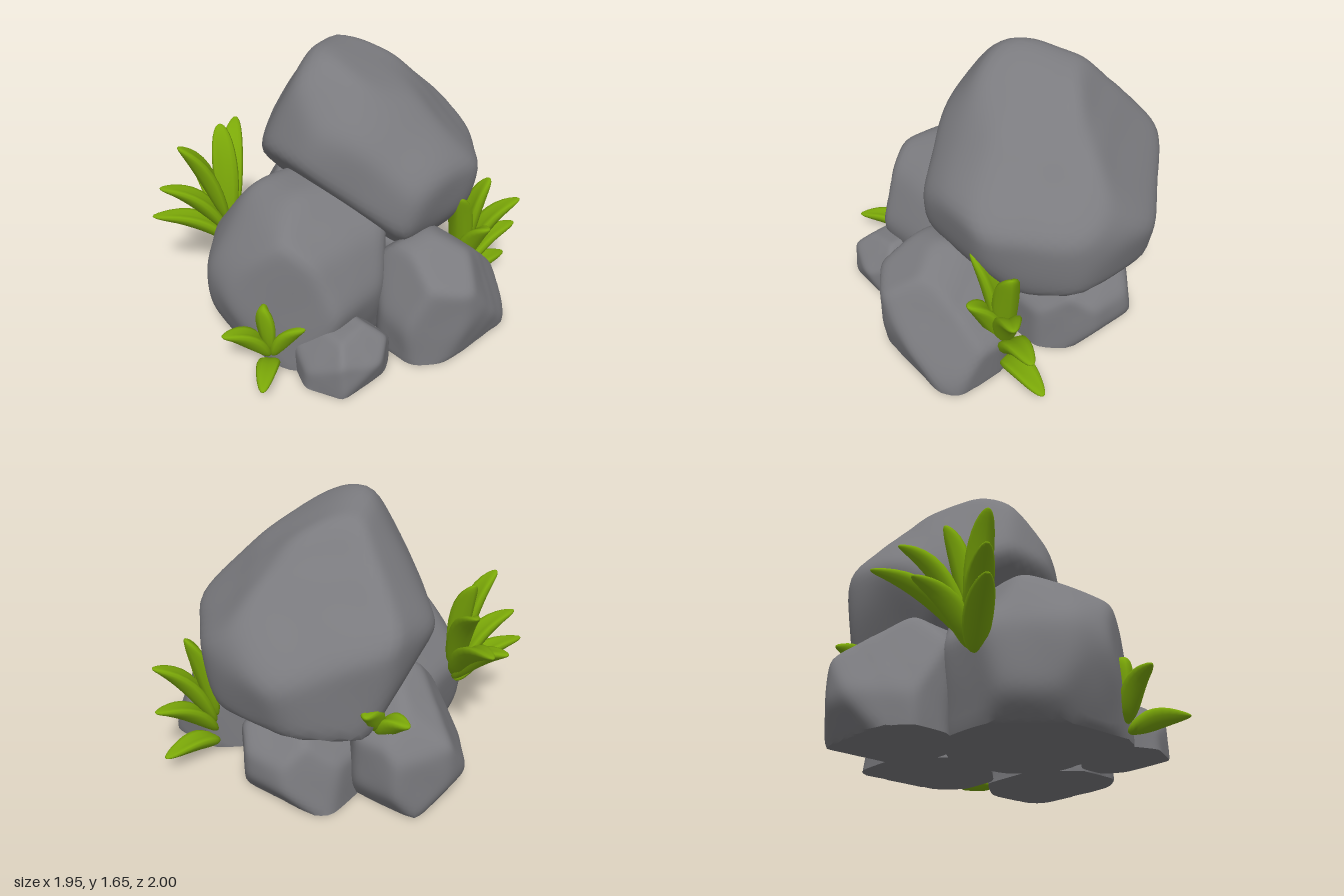
import * as THREE from 'three';
import { mergeVertices, toCreasedNormals } from 'three/addons/utils/BufferGeometryUtils.js';

const stone = new THREE.MeshStandardMaterial({ color: 0x7b7b7f });
stone.name = 'stone grey';
const leafGreen = new THREE.MeshStandardMaterial({ color: 0x7ba808 });
leafGreen.name = 'leaf green';

const weld = (g) => {
  g.deleteAttribute('uv');
  g.deleteAttribute('normal');
  return mergeVertices(g, 1e-4);
};

// Boulder: a ball cut by planes with softened edges, fitted to a box and cut flat at the ground.
// Each cut is the foot of its plane, measured from the middle of the rock.
function boulder(name, min, max, cuts) {
  const g = weld(new THREE.IcosahedronGeometry(1, 16));
  const pos = g.attributes.position, v = new THREE.Vector3(), power = 24;
  const planes = cuts.map((c) => new THREE.Vector3(...c)).map((f) => f.divideScalar(f.lengthSq()));
  for (let i = 0; i < pos.count; i++) {
    v.fromBufferAttribute(pos, i).normalize();
    let sum = 0;
    for (const n of planes) sum += Math.max(0, v.dot(n)) ** power;
    const bump = 1 + 0.006 * Math.sin(7 * v.x + 3 * v.z) * Math.sin(6 * v.y + 5 * v.z + 1);
    v.multiplyScalar(sum ** (-1 / power) * bump);
    pos.setXYZ(i, v.x, v.y, v.z);
  }
  g.computeBoundingBox();
  const b = g.boundingBox, size = b.getSize(new THREE.Vector3());
  for (let i = 0; i < pos.count; i++) {
    v.fromBufferAttribute(pos, i).sub(b.min).divide(size);
    const [x, y, z] = [v.x, v.y, v.z].map((t, k) => min[k] + t * (max[k] - min[k]));
    pos.setXYZ(i, x, Math.max(0, y), z);
  }
  const mesh = new THREE.Mesh(toCreasedNormals(g, 0.6), stone);
  mesh.name = name;
  return mesh;
}

// Leaf: a fleshy, folded ball swept along an arching curve.
function leaf(root, tip, width) {
  const a = new THREE.Vector3(...root), c = new THREE.Vector3(...tip), d = c.clone().sub(a);
  const mid = a.clone().add(new THREE.Vector3(d.x * 0.33, d.y * 0.72 + 0.05, d.z * 0.33));
  const curve = new THREE.QuadraticBezierCurve3(a, mid, c);
  const side = d.clone().cross(new THREE.Vector3(0, 1, 0)).normalize();
  const g = weld(new THREE.SphereGeometry(1, 12, 14));
  const pos = g.attributes.position;
  for (let i = 0; i < pos.count; i++) {
    const x = pos.getX(i), y = pos.getY(i), z = pos.getZ(i), t = (y + 1) / 2;
    const taper = 1.15 - 0.4 * t;
    const normal = side.clone().cross(curve.getTangent(t)).normalize();
    const p = curve.getPoint(t)
      .addScaledVector(side, x * taper * width)
      .addScaledVector(normal, z * taper * 0.046 + (Math.abs(x) - 0.5) * 0.04 * (1 - y * y));
    pos.setXYZ(i, p.x, p.y, p.z);
  }
  g.computeVertexNormals();
  const mesh = new THREE.Mesh(g, leafGreen);
  mesh.name = 'leaf';
  return mesh;
}

// Tuft: leaves from one stem, taller leaves starting higher up.
function tuft(name, root, width, tips) {
  const group = new THREE.Group();
  group.name = name;
  const spread = [0.04, 0.25, 0.04];
  for (const tip of tips) {
    const foot = root.map((r, k) => r + (tip[k] - r) * spread[k]);
    group.add(leaf(foot, tip, width));
  }
  return group;
}

export function createModel() {
  const model = new THREE.Group();
  model.name = 'rockPile';

  model.add(
    boulder('topBoulder', [-0.75, 0.43, -0.97], [0.61, 1.65, 0.35], [
      // top and back
      [-0.04, 0.55, -0.08], [0.17, 0.39, -0.12], [0.03, 0.33, -0.34], [0.2, 0.28, -0.23],
      [-0.15, 0.26, -0.3], [0, 0.2, -0.53], [0, -0.18, -0.65], [0.2, 0, -0.63],
      // underside and front
      [0, -0.58, -0.1], [-0.12, -0.7, -0.21], [0, -0.3, 0.35], [0, 0.18, 0.61], [0, 0.6, 0.33],
      // flanks
      [-0.49, 0.36, 0], [-0.42, 0.32, 0.11], [0.36, 0.33, -0.04], [0.43, 0.3, 0.16],
      [0.65, -0.08, 0], [-0.65, -0.08, 0], [0.55, -0.42, 0], [-0.51, -0.28, 0.18],
      // corners
      [0.36, 0.02, 0.48], [-0.43, 0.04, 0.44], [0.45, -0.05, -0.45], [-0.43, -0.05, -0.45],
      [0.3, 0.38, 0.37], [-0.37, 0.25, 0.32], [0.5, -0.32, -0.42],
    ]),
    boulder('frontBoulder', [-0.57, -0.1, -0.2], [0.54, 0.95, 0.85], [
      [-0.02, 0.52, -0.05], [-0.08, 0, 0.5], [-0.05, 0.31, 0.34], [0.22, 0.03, 0.36],
      [-0.34, 0, 0.38], [0.46, 0.2, 0], [-0.39, 0.31, 0], [0.53, -0.1, -0.05],
      [0.49, -0.21, 0], [-0.55, -0.1, 0], [0, 0, -0.53], [0.37, 0, -0.37],
      [-0.37, 0, -0.37], [0, 0.35, -0.37], [0, -0.5, 0], [0, -0.17, 0.46],
      [0.27, 0.4, 0], [0, 0.46, 0.2], [0, 0.17, 0.45], [-0.28, 0.25, 0.3],
      [-0.27, -0.39, 0.31],
    ]),
    boulder('rightBoulder', [0.27, -0.1, -0.67], [0.97, 0.7, 0.18], [
      [0, 0.39, 0.08], [0.18, 0.29, 0.05], [0, 0.19, -0.19], [0, 0.14, 0.35],
      [0.35, 0, 0], [0.34, -0.1, 0], [0, -0.05, -0.41], [0, -0.05, 0.42],
      [0.29, 0, 0.22], [0.3, 0, -0.27], [-0.35, 0, 0], [-0.25, 0, 0.27],
      [-0.25, 0, -0.27], [-0.24, 0.24, 0], [0, -0.4, 0], [0.19, 0.11, -0.15],
      [0.05, 0.27, -0.14],
    ]),
    boulder('leftBoulder', [-0.97, -0.1, -0.56], [-0.3, 0.74, 0.2], [
      [-0.32, 0, 0], [-0.18, 0.23, 0], [0, 0, -0.35], [-0.26, 0, -0.18],
      [-0.25, 0, 0.18], [0, 0, 0.38], [0.08, 0.42, 0], [0.33, 0, 0],
      [0.25, 0, 0.25], [0.24, 0, -0.24], [0, 0.26, -0.23], [0, 0.3, 0.26],
      [0, -0.4, 0], [-0.29, -0.18, 0], [-0.2, 0.18, -0.17], [0, -0.2, -0.32],
      [-0.16, 0.1, 0.13],
    ]),
    boulder('backBoulder', [-0.47, -0.1, -0.87], [0.26, 0.52, -0.12], [
      [0, 0.3, 0], [0, 0.02, -0.35], [0, 0, 0.35], [0.35, 0, 0], [-0.35, 0, 0],
      [0.23, 0, -0.24], [-0.25, 0.05, -0.23], [0.24, 0, 0.24], [-0.24, 0, 0.24],
      [0, 0.21, -0.23], [0.21, 0.2, 0], [-0.22, 0.2, 0], [0, -0.18, -0.3], [0, -0.36, 0],
    ]),
    boulder('smallRock', [0.3, -0.1, 0.18], [0.76, 0.33, 0.71], [
      [0, 0.18, 0.02], [0.21, 0.02, 0.06], [0.19, 0, -0.12], [0.1, 0, 0.22],
      [-0.1, 0, 0.25], [0, 0, -0.26], [-0.22, 0, 0], [-0.16, 0, -0.17],
      [0.13, 0.13, 0], [-0.13, 0.12, 0], [0, 0.13, 0.15], [0, 0.14, -0.14],
      [0, -0.22, 0], [0.2, -0.07, 0],
    ]),
  );

  model.add(
    tuft('leftTuft', [-0.55, 0.28, 0.42], 0.08, [
      [-0.7, 1.08, 0.34], [-0.67, 1.05, 0.67], [-0.84, 1, 0.12], [-0.98, 0.82, 0.08],
      [-0.93, 0.68, 0.39], [-0.76, 0.77, 0.77], [-0.8, 0.57, 0.82],
    ]),
    tuft('frontTuft', [0.22, 0, 0.73], 0.067, [
      [0.2, 0.44, 0.76], [0.13, 0.31, 1], [0.45, 0.11, 0.98], [0.4, 0.31, 0.62],
    ]),
    tuft('backTuft', [0.48, 0.04, -0.6], 0.08, [
      [0.53, 0.12, -1], [0.6, 0.4, -0.98], [0.67, 0.64, -0.91],
      [0.55, 0.8, -0.75], [0.71, 0.58, -0.57], [0.57, 0.8, -0.43],
    ]),
    tuft('backLeftSprig', [-0.6, 0.45, -0.47], 0.065, [
      [-0.82, 0.62, -0.49], [-0.65, 0.7, -0.66],
    ]),
  );
  return model;
}
